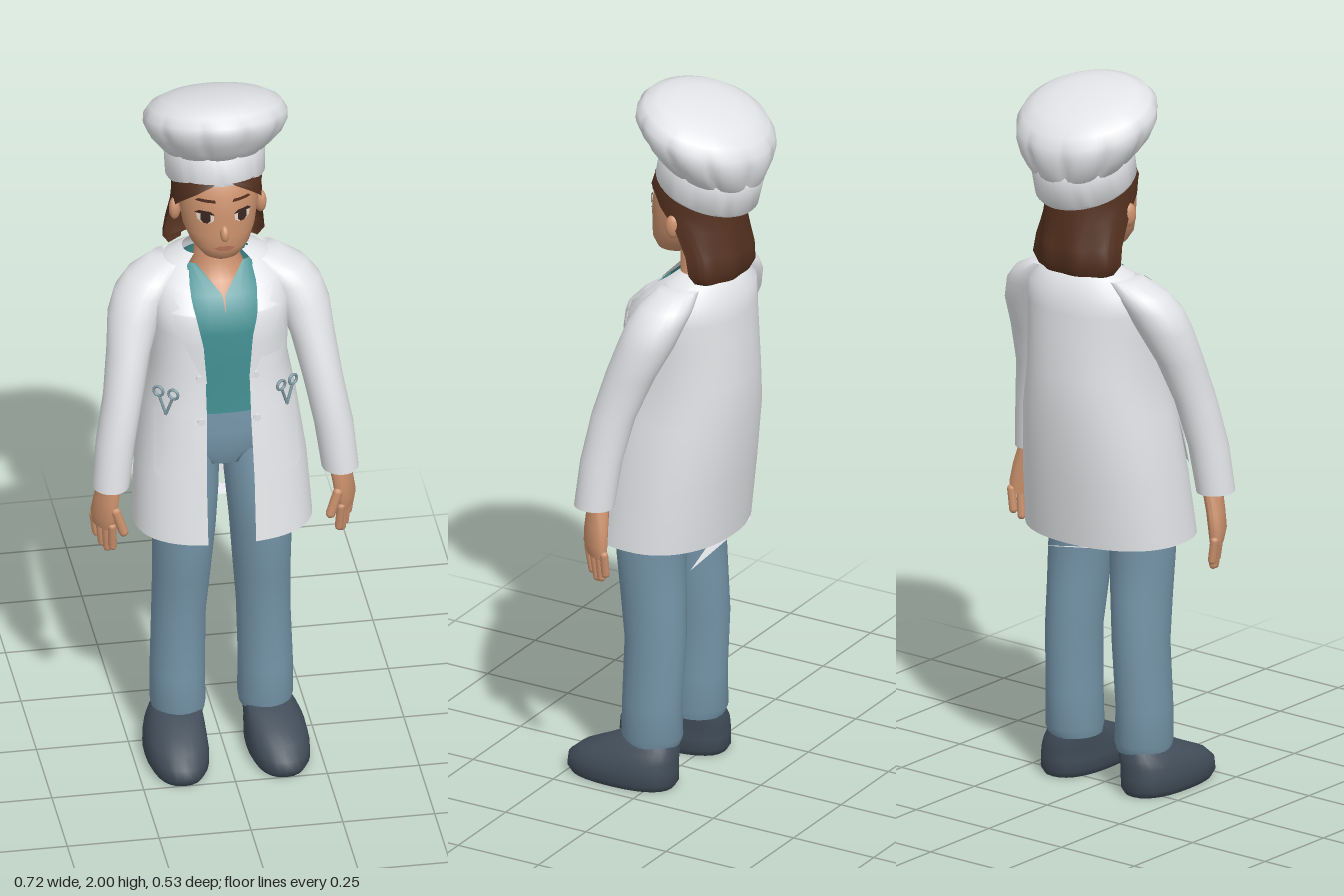
import * as THREE from 'three';
import { toCreasedNormals } from 'three/addons/utils/BufferGeometryUtils.js';

const mat = (name, color) => {
  const m = new THREE.MeshStandardMaterial({ color, side: THREE.DoubleSide });
  m.name = name;
  return m;
};
const M = {
  white: mat('white cloth', 0xe2e4e7),
  teal: mat('teal shirt', 0x439093),
  denim: mat('blue trousers', 0x7494a8),
  shoe: mat('slate shoes', 0x414d59),
  skin: mat('skin', 0xcb916d),
  hair: mat('brown hair', 0x54311f),
  eye: mat('dark eye', 0x3a2620),
  eyeWhite: mat('eye white', 0xe3d6cb),
  lip: mat('lips', 0xb06e59),
  metal: mat('tool metal', 0x7f99a3),
};

const mesh = (name, geo, material, parent) => {
  const m = new THREE.Mesh(geo, material);
  m.name = name;
  parent.add(m);
  return m;
};
const sp = (v, p) => Math.sign(v) * Math.abs(v) ** p;

// Row from side profile: height, front z, back z, half width, opening angle
const row = (y, f, b, rx, a0 = 0) => [y, 0, (f + b) / 2, rx, (f - b) / 2, a0];

// Skin horizontal oval rows, bottom to top; an opening angle leaves a front gap.
// p squares the front half of the oval, back the rear half
function loft(rows, { n = 32, p = 1, back = p, cap = true, open = false, pleat = () => 1, crease = 0.8 } = {}) {
  const pos = [], idx = [], w = open ? n + 1 : n;
  rows.forEach(([y, cx, cz, rx, rz, a0 = 0], r) => {
    for (let i = 0; i < w; i++) {
      const a = a0 + (i / n) * (2 * Math.PI - 2 * a0), k = pleat(r, a), q = Math.cos(a) < 0 ? back : p;
      pos.push(cx + k * rx * sp(Math.sin(a), q), y, cz + k * rz * sp(Math.cos(a), q));
    }
  });
  for (let r = 0; r < rows.length - 1; r++) {
    for (let i = 0; i < n; i++) {
      const a = r * w + i, b = r * w + ((i + 1) % w);
      idx.push(a, b, a + w, b, b + w, a + w);
    }
  }
  if (cap) {
    const last = rows.length - 1;
    [0, last].forEach((r, e) => {
      const c = pos.length / 3, [y, cx, cz] = rows[r];
      pos.push(cx, y, cz);
      for (let i = 0; i < n; i++) {
        const a = r * w + i, b = r * w + ((i + 1) % w);
        e ? idx.push(a, b, c) : idx.push(b, a, c);
      }
    });
  }
  const g = new THREE.BufferGeometry();
  g.setAttribute('position', new THREE.Float32BufferAttribute(pos, 3));
  g.setIndex(idx);
  return toCreasedNormals(g, crease);
}

// Front depth of a lofted surface at x, y
function depth(rows, p, x, y) {
  let i = 0;
  while (i < rows.length - 2 && rows[i + 1][0] < y) i++;
  const t = THREE.MathUtils.clamp((y - rows[i][0]) / (rows[i + 1][0] - rows[i][0]), 0, 1);
  const [, , cz, rx, rz] = rows[i].map((v, k) => THREE.MathUtils.lerp(v, rows[i + 1][k], t));
  return cz + rz * Math.max(0, 1 - Math.abs(x / rx) ** (2 / p)) ** (p / 2);
}

// Thin plate hugging a lofted surface; spans are [y, x0, x1], bottom to top
function plate(rows, p, spans, offset, s = 1) {
  const pos = [], idx = [], n = 6, sub = 4, lines = (spans.length - 1) * sub + 1;
  for (let r = 0; r < lines; r++) {
    const i = Math.min(Math.floor(r / sub), spans.length - 2);
    const [y, x0, x1] = spans[i].map((v, k) => THREE.MathUtils.lerp(v, spans[i + 1][k], r / sub - i));
    for (let c = 0; c <= n; c++) {
      const x = s * (x0 + (x1 - x0) * c / n);
      pos.push(x, y, depth(rows, p, x, y) + offset);
    }
  }
  for (let r = 0; r < lines - 1; r++) {
    for (let c = 0; c < n; c++) {
      const a = r * (n + 1) + c, b = a + 1, d = a + n + 1, e = d + 1;
      s > 0 ? idx.push(a, b, d, b, e, d) : idx.push(b, a, d, e, b, d);
    }
  }
  const g = new THREE.BufferGeometry();
  g.setAttribute('position', new THREE.Float32BufferAttribute(pos, 3));
  g.setIndex(idx);
  g.computeVertexNormals();
  return g;
}

export function createModel() {
  const root = new THREE.Group();
  root.name = 'figure';
  const P = 0.8;

  // Open coat and its loose tail
  const coat = [
    [0.72, 0.2, -0.165, 0.243, 0.065], [0.9, 0.175, -0.188, 0.231, 0.065], [1.08, 0.15, -0.212, 0.206, 0.06],
    [1.2, 0.125, -0.214, 0.184, 0.06], [1.32, 0.122, -0.205, 0.188, 0.07], [1.38, 0.112, -0.2, 0.19, 0.085],
    [1.44, 0.055, -0.195, 0.178, 0.092], [1.48, 0, -0.165, 0.135, 0.088], [1.5, -0.025, -0.14, 0.09, 0.065],
  ].map(([y, f, b, rx, gap]) => row(y, f, b, rx, Math.asin((gap / rx) ** (1 / P))));
  mesh('coatBody', loft(coat, { n: 48, p: P, back: 0.93, open: true, cap: false, crease: 1.1 }), M.white, root);
  const flap = new THREE.BufferGeometry().setFromPoints([
    new THREE.Vector3(-0.23, 0.725, -0.06), new THREE.Vector3(-0.1, 0.725, -0.16), new THREE.Vector3(0.17, 0.67, -0.13)]);
  flap.computeVertexNormals();
  mesh('coatTailFlap', flap, M.white, root);

  // Trousers, shirt and neck
  mesh('hips', loft([row(0.905, 0.085, -0.1, 0.1), row(0.95, 0.1, -0.13, 0.17), row(1.01, 0.1, -0.14, 0.175), row(1.09, 0.095, -0.13, 0.165)],
    { p: P, back: 1, crease: 1.2 }), M.denim, root);
  mesh('shirt', loft([row(1.075, 0.104, -0.14, 0.17), row(1.2, 0.1, -0.14, 0.16), row(1.32, 0.104, -0.14, 0.16),
    row(1.38, 0.095, -0.14, 0.16), row(1.42, 0.062, -0.14, 0.15, 0.01), row(1.485, 0, -0.12, 0.1, 0.6)],
  { p: P, back: 1, open: true, cap: false }), M.teal, root);
  mesh('neck', loft([row(1.34, 0.075, -0.1, 0.09), row(1.4, 0.055, -0.12, 0.09), row(1.44, 0.02, -0.12, 0.08),
    row(1.48, -0.01, -0.12, 0.062), row(1.6, -0.01, -0.11, 0.055)], { n: 24 }), M.skin, root);

  // Head and face
  const head = [row(1.526, 0.045, 0, 0.028), row(1.538, 0.063, -0.04, 0.052), row(1.57, 0.073, -0.08, 0.08),
    row(1.61, 0.073, -0.12, 0.097), row(1.67, 0.07, -0.14, 0.107), row(1.73, 0.066, -0.16, 0.11), row(1.79, 0.035, -0.16, 0.1)];
  mesh('head', loft(head, { crease: 1.2 }), M.skin, root);
  const nose = mesh('nose', new THREE.SphereGeometry(1, 12, 10), M.skin, root);
  nose.scale.set(0.0125, 0.024, 0.016);
  nose.position.set(0, 1.622, 0.072);
  nose.rotation.x = -0.3;
  mesh('mouth', plate(head, 1, [[1.569, -0.012, 0.012], [1.576, -0.03, 0.03], [1.584, -0.012, 0.012]], 0.003), M.lip, root);

  // Hair: parted in front, longer at the nape with wavy ends
  const hair = [row(1.505, -0.06, -0.17, 0.09, 1.75), row(1.492, -0.02, -0.19, 0.125, 1.7), row(1.52, 0.02, -0.205, 0.144, 1.7),
    row(1.57, 0.05, -0.205, 0.138, 1.7), row(1.64, 0.06, -0.19, 0.126, 1.5), row(1.69, 0.072, -0.19, 0.122, 1.1),
    row(1.735, 0.074, -0.185, 0.122, 0.65), row(1.762, 0.061, -0.18, 0.12, 0.25), row(1.785, 0.042, -0.17, 0.11, 0)];
  mesh('hair', loft(hair, { open: true, cap: false, crease: 1.2, n: 48, pleat: (r, a) => (r < 4 ? 1 + 0.03 * Math.cos(a * 9) : 1) }), M.hair, root);

  // Tilted hat with a band and a rounded crown gathered into the band
  const hat = new THREE.Group();
  hat.name = 'hat';
  hat.position.set(0, 1.72, -0.08);
  hat.rotation.x = -0.28;
  root.add(hat);
  mesh('hatBand', loft([[0, 0, 0, 0.128, 0.14], [0.01, 0, 0, 0.134, 0.146], [0.09, 0, 0.005, 0.136, 0.148], [0.1, 0, 0.005, 0.13, 0.142]],
    { n: 40 }), M.white, hat);
  const fold = [0.015, 0.035, 0.035, 0.025, 0.01, 0, 0, 0, 0];
  mesh('hatCrown', loft([[0.075, 0, 0.006, 0.132, 0.144], [0.1, 0, 0.018, 0.155, 0.162], [0.13, 0, 0.033, 0.179, 0.18],
    [0.165, 0, 0.048, 0.194, 0.193], [0.19, 0, 0.055, 0.194, 0.19], [0.215, 0, 0.06, 0.178, 0.17],
    [0.234, 0, 0.064, 0.145, 0.132], [0.245, 0, 0.066, 0.095, 0.085], [0.25, 0, 0.066, 0.04, 0.035]],
  { n: 80, crease: 1.3, pleat: (r, a) => 1 + fold[r] * (2 * Math.abs(Math.cos(a * 5)) ** 0.5 - 1.6) }), M.white, hat);

  // Everything that comes in pairs
  for (const s of [1, -1]) {
    const side = new THREE.Group();
    side.name = s > 0 ? 'leftSide' : 'rightSide';
    root.add(side);

    mesh('sleeve', loft([[0.885, s * 0.31, 0.085, 0.042, 0.046], [0.87, s * 0.312, 0.085, 0.05, 0.056], [1, s * 0.297, 0.072, 0.053, 0.058],
      [1.13, s * 0.272, 0.048, 0.054, 0.062], [1.25, s * 0.25, 0.008, 0.06, 0.07], [1.34, s * 0.228, -0.028, 0.073, 0.078],
      [1.4, s * 0.202, -0.046, 0.078, 0.079], [1.44, s * 0.17, -0.06, 0.075, 0.074], [1.475, s * 0.13, -0.075, 0.05, 0.055]],
    { n: 24, crease: 1.1 }), M.white, side);

    // Hand, turned so the little finger sits outward and back
    const hand = new THREE.Group();
    hand.name = 'hand';
    hand.position.set(s * 0.324, 0.87, 0.068);
    hand.rotation.y = -s * 0.5;
    side.add(hand);
    mesh('palm', loft([[-0.135, s * 0.005, -0.005, 0.018, 0.042], [-0.1, s * 0.006, 0, 0.024, 0.048],
      [-0.05, 0, 0.005, 0.025, 0.045], [0.02, -s * 0.012, 0.012, 0.028, 0.034]], { n: 16 }), M.skin, hand);
    [0.068, 0.082, 0.076, 0.056].forEach((len, i) => {
      const f = mesh('finger', new THREE.CapsuleGeometry(0.0118, len, 4, 8), M.skin, hand);
      f.position.set(s * 0.002, -0.122 - len / 2, 0.033 - i * 0.025);
      f.rotation.set(0.12 - i * 0.06, 0, -s * 0.12);
    });
    const thumb = mesh('thumb', new THREE.CapsuleGeometry(0.0135, 0.065, 4, 8), M.skin, hand);
    thumb.position.set(-s * 0.008, -0.105, 0.052);
    thumb.rotation.set(-0.2, 0, -s * 0.25);

    // Leg and shoe
    mesh('trouserLeg', loft([[0.115, s * 0.118, 0.02, 0.07, 0.078], [0.14, s * 0.119, 0.018, 0.075, 0.086], [0.24, s * 0.12, 0.018, 0.074, 0.083],
      [0.42, s * 0.115, 0.01, 0.073, 0.087], [0.55, s * 0.109, 0.02, 0.078, 0.093], [0.7, s * 0.104, 0.032, 0.085, 0.099],
      [0.82, s * 0.098, 0.018, 0.089, 0.108], [0.95, s * 0.09, -0.012, 0.088, 0.114]], { n: 24, crease: 1.1 }), M.denim, side);
    mesh('shoe', loft([[0, s * 0.138, 0.098, 0.074, 0.152], [0.018, s * 0.138, 0.098, 0.084, 0.163], [0.05, s * 0.137, 0.096, 0.084, 0.161],
      [0.078, s * 0.135, 0.08, 0.08, 0.144], [0.102, s * 0.129, 0.052, 0.073, 0.116], [0.135, s * 0.12, 0.022, 0.06, 0.075]],
    { n: 28, p: 0.84, crease: 1.1 }), M.shoe, side);

    // Ear, eye and brow
    const ear = mesh('ear', new THREE.SphereGeometry(1, 12, 10), M.skin, side);
    ear.scale.set(0.016, 0.034, 0.022);
    ear.position.set(s * 0.116, 1.645, -0.045);
    ear.rotation.y = s * 0.4;
    const face = (name, spans, off, m) => mesh(name, plate(head, 1, spans, off, s), m, side);
    face('eyeWhite', [[1.653, 0.042, 0.058], [1.661, 0.029, 0.07], [1.676, 0.028, 0.073], [1.686, 0.04, 0.062]], 0.002, M.eyeWhite);
    face('iris', [[1.654, 0.045, 0.055], [1.662, 0.037, 0.063], [1.678, 0.037, 0.063], [1.687, 0.044, 0.056]], 0.004, M.eye);
    face('upperLash', [[1.681, 0.026, 0.078], [1.691, 0.038, 0.066]], 0.005, M.eye);
    face('eyebrow', [[1.717, 0.022, 0.076], [1.726, 0.026, 0.068]], 0.004, M.hair);

    // Coat lapels, pockets and buttons
    const trim = (name, spans, off) => mesh(name, plate(coat, P, spans, off, s), M.white, side);
    trim('lapel', [[1.19, 0.058, 0.062], [1.3, 0.066, 0.115], [1.385, 0.083, 0.15], [1.4, 0.086, 0.125]], 0.009);
    trim('collar', [[1.395, 0.086, 0.12], [1.425, 0.09, 0.135], [1.45, 0.09, 0.12], [1.475, 0.086, 0.1]], 0.01);
    trim('hipPocket', [[0.91, 0.11, 0.19], [0.925, 0.1, 0.2], [1.09, 0.1, 0.192]], 0.009);
    if (s > 0) trim('chestPocket', [[1.25, 0.1, 0.15], [1.27, 0.09, 0.16], [1.34, 0.09, 0.16]], 0.008);
    for (const y of [1.08, 1.2]) {
      const b = mesh('button', new THREE.CylinderGeometry(0.01, 0.01, 0.008, 12), M.white, side);
      b.rotation.x = Math.PI / 2;
      b.position.set(s * 0.076, y, depth(coat, P, 0.076, y) + 0.004);
    }

    // Scissors standing in the hip pocket
    const tool = new THREE.Group();
    tool.name = 'pocketScissors';
    tool.position.set(s * 0.165, 1.1, depth(coat, P, 0.165, 1.1) + 0.012);
    tool.rotation.y = s * 0.6;
    side.add(tool);
    for (const k of [1, -1]) {
      const arm = mesh('scissorArm', new THREE.CylinderGeometry(0.004, 0.004, 0.06, 8), M.metal, tool);
      arm.position.set(k * 0.01, 0.015, 0);
      arm.rotation.z = -k * 0.35;
      const ring = mesh('scissorRing', new THREE.TorusGeometry(0.014, 0.004, 8, 16), M.metal, tool);
      ring.position.set(k * 0.022, 0.055, 0);
    }
  }
  return root;
}
